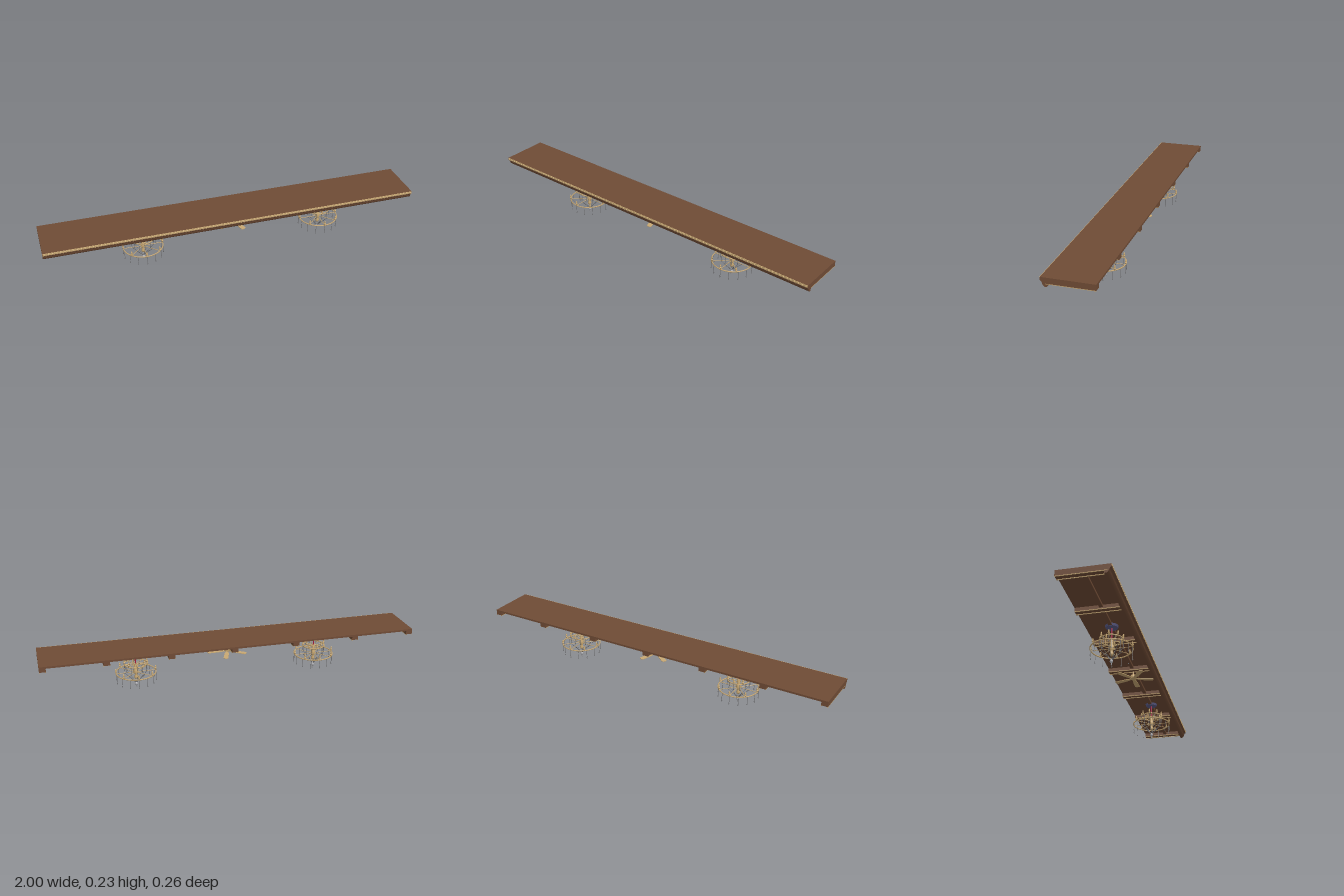
import * as THREE from 'three';

const mat = (name, color) => {
  const m = new THREE.MeshStandardMaterial({ color });
  m.name = name;
  return m;
};

export function createModel() {
  const wood = mat('brown wood', 0x6f4b35);
  const gold = mat('antique gold', 0xc8a873);
  const crystal = mat('grey crystal', 0xa6a6aa);
  const iron = mat('grey iron', 0x727274);
  const red = mat('crimson cord', 0xa81c42);
  const navy = mat('navy rose', 0x5c5c86);

  const model = new THREE.Group();
  model.name = 'ceilingWithLights';

  const add = (parent, name, geometry, material, x = 0, y = 0, z = 0) => {
    const m = new THREE.Mesh(geometry, material);
    m.name = name;
    m.position.set(x, y, z);
    parent.add(m);
    return m;
  };
  const box = (parent, name, material, w, h, d, x, y, z) =>
    add(parent, name, new THREE.BoxGeometry(w, h, d), material, x, y, z);
  const lathe = (points, sides = 12) =>
    new THREE.LatheGeometry(points.map(([r, y]) => new THREE.Vector2(r, y)), sides);
  // thin rod between two points
  const rod = (parent, name, material, a, b, r) => {
    const p = new THREE.Vector3(...a), q = new THREE.Vector3(...b);
    const m = add(parent, name, new THREE.CylinderGeometry(r, r, p.distanceTo(q), 6), material);
    m.position.copy(p).add(q).multiplyScalar(0.5);
    m.quaternion.setFromUnitVectors(new THREE.Vector3(0, 1, 0), q.sub(p).normalize());
  };
  const around = (n, r, fn) => {
    for (let i = 0; i < n; i++) {
      const a = (i / n) * Math.PI * 2;
      fn(Math.sin(a) * r, Math.cos(a) * r);
    }
  };

  // Ceiling panel
  box(model, 'ceilingPanel', wood, 2, 0.01, 0.254, 0, 0.227, -0.003);

  // Cross beams with gilded lower edges
  for (let i = 0; i <= 6; i++) {
    const x = THREE.MathUtils.clamp(-1 + i / 3, -0.983, 0.983);
    box(model, 'crossBeam', wood, 0.034, 0.02, 0.24, x, 0.213, -0.01);
    for (const s of [-1, 1]) {
      box(model, 'beamTrim', gold, 0.004, 0.003, 0.24, x + s * 0.015, 0.2015, -0.01);
    }
  }
  // Lengthwise beam
  box(model, 'lengthwiseBeam', wood, 1.96, 0.014, 0.018, 0, 0.216, 0);

  // Front cornice moulding
  const profile = new THREE.Shape();
  profile.moveTo(0.096, 0.232);
  profile.lineTo(0.127, 0.232);
  profile.lineTo(0.13, 0.218);
  profile.quadraticCurveTo(0.12, 0.213, 0.118, 0.202);
  profile.quadraticCurveTo(0.114, 0.19, 0.106, 0.187);
  profile.lineTo(0.096, 0.187);
  profile.closePath();
  const cornice = new THREE.ExtrudeGeometry(profile, { depth: 2, bevelEnabled: false, curveSegments: 5 });
  cornice.rotateY(-Math.PI / 2);
  add(model, 'cornice', cornice, wood, 1, 0, 0);

  // Gilded strip with a row of carved beads
  box(model, 'corniceTrim', gold, 1.998, 0.014, 0.003, 0, 0.2245, 0.128);
  const bead = new THREE.SphereGeometry(0.0065, 8, 6);
  for (let i = 0; i < 100; i++) {
    add(model, 'corniceBead', bead, gold, -0.99 + i * 0.02, 0.2245, 0.1265);
  }

  // Shared chandelier shapes
  const candleShape = lathe([[0, 0], [0.003, 0.001], [0.0025, 0.006], [0.0055, 0.009], [0.0055, 0.012],
    [0.003, 0.013], [0.003, 0.017], [0.0045, 0.02], [0.003, 0.024], [0, 0.03]], 8);
  const dropShape = lathe([[0, -0.007], [0.003, 0], [0, 0.003]], 6);
  const columnShape = lathe([[0, 0.054], [0.008, 0.056], [0.0105, 0.066], [0.006, 0.076], [0.008, 0.084],
    [0.0125, 0.092], [0.011, 0.106], [0.007, 0.118], [0.009, 0.128], [0.005, 0.134], [0.006, 0.14], [0, 0.146]], 14);
  const finialShape = lathe([[0, 0.003], [0.004, 0.01], [0.0015, 0.016], [0.006, 0.018], [0.009, 0.025],
    [0.006, 0.032], [0.002, 0.035], [0, 0.04]], 10);

  const tier = (parent, y, radius, dropCount, dropLength) => {
    const ring = add(parent, 'tierRing', new THREE.TorusGeometry(radius, 0.003, 6, 40), gold, 0, y, 0);
    ring.rotation.x = Math.PI / 2;
    around(8, radius, (x, z) => {
      add(parent, 'candle', candleShape, gold, x, y, z);
      rod(parent, 'tierArm', gold, [0, y, 0], [x, y, z], 0.0017);
    });
    around(dropCount, radius, (x, z) => {
      rod(parent, 'pendantChain', iron, [x, y, z], [x, y - dropLength, z], 0.0012);
      add(parent, 'pendantDrop', dropShape, iron, x, y - dropLength, z);
    });
  };

  // Two chandeliers
  for (const cx of [-0.48, 0.505]) {
    const g = new THREE.Group();
    g.name = 'chandelier';
    g.position.set(cx, 0, 0.002);
    model.add(g);
    add(g, 'ceilingRose', new THREE.CylinderGeometry(0.034, 0.03, 0.012, 16), navy, 0, 0.213, 0);
    rod(g, 'suspensionCord', red, [0, 0.14, 0], [0, 0.218, 0], 0.0036);
    add(g, 'column', columnShape, gold);
    add(g, 'finial', finialShape, crystal);
    tier(g, 0.141, 0.059, 12, 0.032);
    tier(g, 0.093, 0.105, 14, 0.045);
    around(8, 0.058, (x, z) => rod(g, 'supportChain', iron, [x, 0.092, z], [x * 0.08, 0.035, z * 0.08], 0.0013));
  }

  // Five-bladed ceiling fan
  const fan = new THREE.Group();
  fan.name = 'ceilingFan';
  fan.position.set(0.01, 0, 0.002);
  model.add(fan);
  rod(fan, 'fanRod', gold, [0, 0.178, 0], [0, 0.215, 0], 0.004);
  add(fan, 'fanHub', lathe([[0, 0.151], [0.008, 0.153], [0.012, 0.158], [0.0165, 0.161], [0.0175, 0.17],
    [0.015, 0.179], [0.009, 0.183], [0, 0.184]], 16), gold);
  const bladeShape = new THREE.Shape();
  bladeShape.moveTo(0.012, -0.005);
  bladeShape.lineTo(0.04, -0.011);
  bladeShape.lineTo(0.104, -0.013);
  bladeShape.quadraticCurveTo(0.116, 0, 0.104, 0.013);
  bladeShape.lineTo(0.04, 0.011);
  bladeShape.lineTo(0.012, 0.005);
  bladeShape.closePath();
  const blade = new THREE.ExtrudeGeometry(bladeShape, { depth: 0.003, bevelEnabled: false, curveSegments: 4 });
  blade.rotateX(-Math.PI / 2);
  for (let i = 0; i < 5; i++) {
    add(fan, 'fanBlade', blade, gold, 0, 0.159, 0).rotation.y = i * Math.PI * 0.4;
  }
  return model;
}
